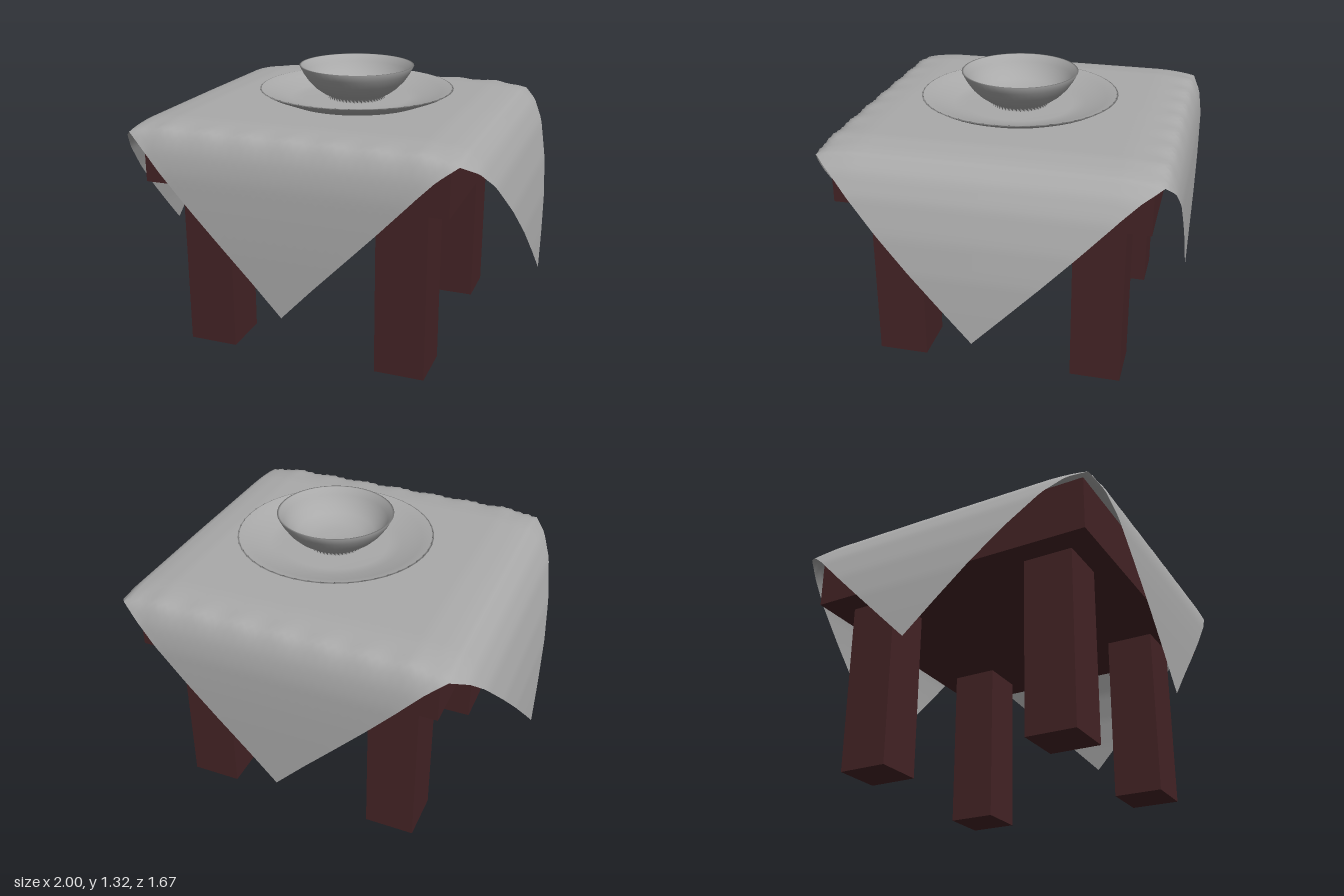
import * as THREE from 'three';

const wood = new THREE.MeshStandardMaterial({ color: 0x452426 });
wood.name = 'dark wood';
const grey = new THREE.MeshStandardMaterial({ color: 0xaaaaaa, side: THREE.DoubleSide });
grey.name = 'plain grey';

function add(parent, name, geometry, material, x = 0, y = 0, z = 0) {
  const mesh = new THREE.Mesh(geometry, material);
  mesh.name = name;
  mesh.position.set(x, y, z);
  parent.add(mesh);
  return mesh;
}

// Cloth drape: [distance along cloth, horizontal reach, drop]
const REACH = 1.54;
const drapeX = [[0, 0, 0], [0.6, 0.6, 0.002], [0.7, 0.7, 0.012], [0.77, 0.765, 0.025], [0.86, 0.83, 0.085],
  [0.95, 0.883, 0.175], [1.1, 0.933, 0.325], [1.25, 0.965, 0.475], [1.4, 0.985, 0.625], [REACH, 1, 0.765]];
const drapeZ = [[0, 0, 0], [0.6, 0.6, 0.002], [0.7, 0.705, 0.012], [0.77, 0.765, 0.025], [0.86, 0.805, 0.1],
  [0.95, 0.825, 0.2], [1.1, 0.832, 0.36], [1.25, 0.835, 0.515], [1.4, 0.835, 0.67], [REACH, 0.835, 0.82]];

function drape(table, d) {
  const a = Math.min(Math.abs(d), REACH);
  let i = 1;
  while (i < table.length - 1 && table[i][0] < a) i++;
  const [p, q] = [table[i - 1], table[i]];
  const t = (a - p[0]) / (q[0] - p[0]);
  return [Math.sign(d) * (p[1] + (q[1] - p[1]) * t), p[2] + (q[2] - p[2]) * t];
}

// Square cloth turned 45 degrees, its corners hanging over the four sides
function clothGeometry() {
  const side = REACH * Math.SQRT2;
  const geo = new THREE.PlaneGeometry(side, side, 64, 64);
  geo.rotateX(-Math.PI / 2).rotateY(Math.PI / 4);
  const pos = geo.attributes.position;
  for (let i = 0; i < pos.count; i++) {
    const u = pos.getX(i), v = pos.getZ(i);
    const [x, dropX] = drape(drapeX, u);
    const [z, dropZ] = drape(drapeZ, v);
    // slight puckers along the front and back folds
    const fold = Math.exp(-(((Math.abs(v) - 0.75) / 0.06) ** 2)) * (Math.abs(u) < 0.7 ? 1 : 0);
    pos.setXYZ(i, x, 1.145 - dropX - dropZ + 0.004 * fold * Math.cos(u * 32), z);
  }
  geo.computeVertexNormals();
  return geo;
}

function lathe(points) {
  return new THREE.LatheGeometry(points.map(([r, y]) => new THREE.Vector2(r, y)), 48);
}

export function createModel() {
  const model = new THREE.Group();
  model.name = 'laidTable';

  // Table
  add(model, 'tableTop', new THREE.BoxGeometry(1.44, 0.26, 1.44), wood, 0, 0.98, 0);
  for (const sx of [-1, 1]) for (const sz of [-1, 1]) {
    add(model, 'tableLeg', new THREE.BoxGeometry(0.24, 0.85, 0.24), wood, 0.48 * sx, 0.425, 0.48 * sz);
  }

  add(model, 'tablecloth', clothGeometry(), grey);

  // Plate and bowl, set a little off centre
  const dishes = new THREE.Group();
  dishes.name = 'dishes';
  dishes.position.set(0.06, 0, 0.015);
  model.add(dishes);
  add(dishes, 'plate', lathe([[0, 1.147], [0.3, 1.147], [0.34, 1.15], [0.44, 1.19], [0.475, 1.21],
    [0.465, 1.212], [0.42, 1.197], [0.32, 1.163], [0.26, 1.157], [0, 1.157]]), grey);
  add(dishes, 'bowl', lathe([[0, 1.158], [0.14, 1.158], [0.135, 1.172], [0.165, 1.185], [0.2, 1.21],
    [0.235, 1.245], [0.262, 1.285], [0.28, 1.32], [0.27, 1.32], [0.25, 1.285], [0.222, 1.247],
    [0.185, 1.215], [0.13, 1.193], [0.07, 1.185], [0, 1.183]]), grey);
  return model;
}
